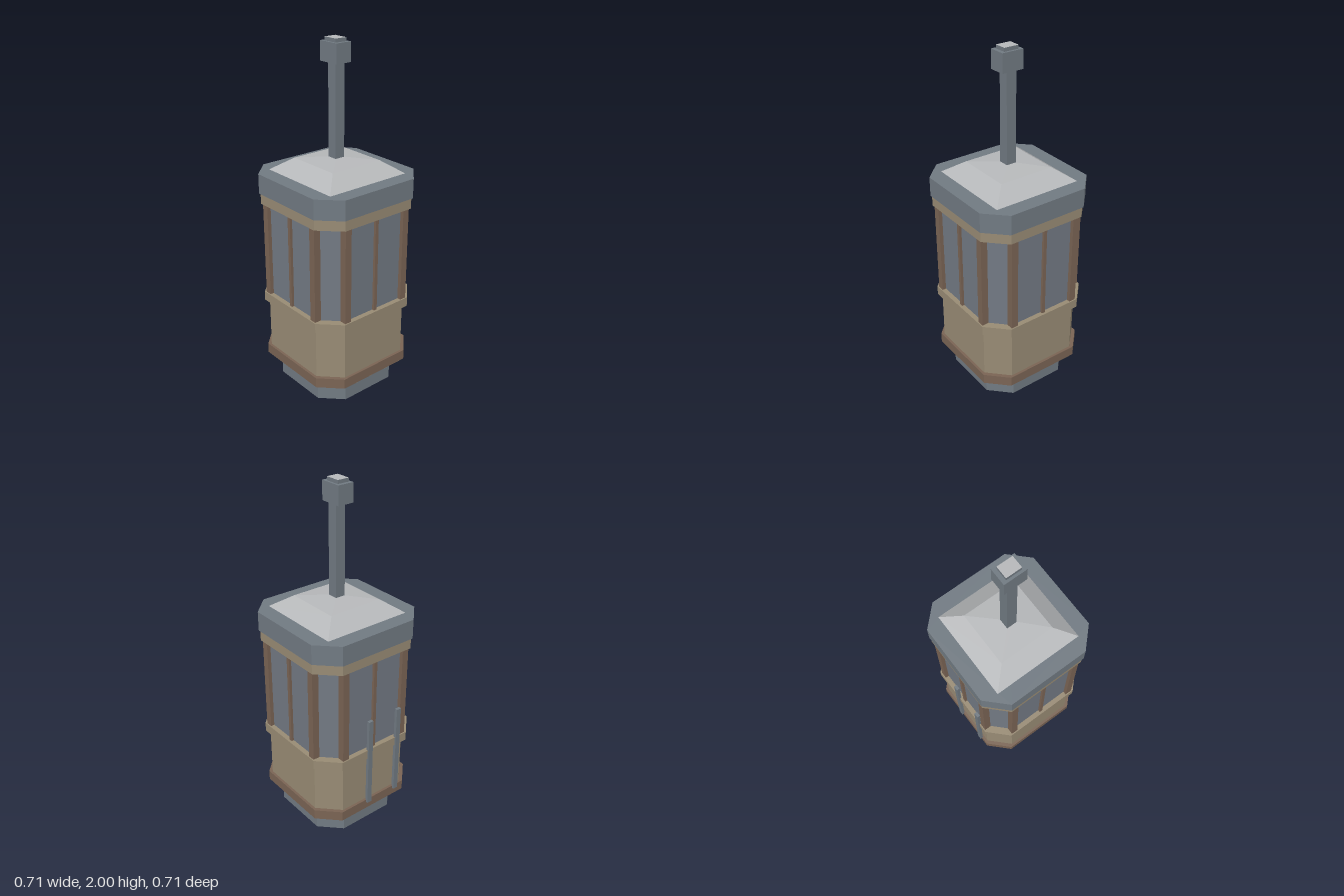
import * as THREE from 'three';

const material = (name, color) => Object.assign(new THREE.MeshStandardMaterial({ color }), { name });

export function createModel() {
  const grey = material('slate grey', 0x717a82);
  const glass = material('window grey', 0x727983);
  const tan = material('tan panel', 0x988b74);
  const brown = material('brown trim', 0x7a6454);
  const pale = material('pale roof', 0xb6b8ba);

  const model = new THREE.Group();
  model.name = 'cableCabin';
  const add = (name, geometry, mat, x = 0, y = 0, z = 0) => {
    const mesh = new THREE.Mesh(geometry, mat);
    mesh.name = name;
    mesh.position.set(x, y, z);
    model.add(mesh);
    return mesh;
  };

  // Square layer with chamfered corners, from height y0 to y1
  const layer = (name, half, y0, y1, mat) => {
    const b = half - 0.113;
    const outline = [[half, -b], [half, b], [b, half], [-b, half], [-half, b], [-half, -b], [-b, -half], [b, -half]];
    const shape = new THREE.Shape(outline.map(([x, y]) => new THREE.Vector2(x, y)));
    const geometry = new THREE.ExtrudeGeometry(shape, { depth: y1 - y0, bevelEnabled: false });
    add(name, geometry.rotateX(-Math.PI / 2), mat, 0, y0, 0);
  };

  // Cabin, from the floor up
  layer('base', 0.283, 0, 0.12, grey);
  layer('lowerBody', 0.327, 0.12, 0.5, tan);
  layer('bumperBand', 0.342, 0.135, 0.195, brown);
  layer('windowSill', 0.347, 0.495, 0.55, tan);
  layer('windows', 0.318, 0.55, 1.1, glass);
  layer('windowHeader', 0.347, 1.1, 1.16, tan);
  layer('roofRim', 0.353, 1.16, 1.273, grey);

  // Corner posts on both sides of every chamfer
  for (const sx of [-1, 1]) for (const sz of [-1, 1]) {
    for (const [x, z] of [[0.205, 0.32], [0.32, 0.205]]) {
      add('cornerPost', new THREE.BoxGeometry(0.04, 0.55, 0.04), brown, sx * x, 0.825, sz * z);
    }
  }

  // Thin mullion in the middle of each side
  for (let i = 0; i < 4; i++) {
    const a = i * Math.PI / 2;
    const mullion = add('mullion', new THREE.BoxGeometry(0.02, 0.55, 0.03), brown,
      0.318 * Math.sin(a), 0.825, 0.318 * Math.cos(a));
    mullion.rotation.y = a;
  }

  // Door handles on the right side
  for (const z of [-0.04, 0.163]) {
    add('doorHandle', new THREE.BoxGeometry(0.018, 0.56, 0.03), grey, -0.346, 0.46, z);
  }

  // Hipped roof: steep skirt and nearly flat crown
  const hip = (name, top, bottom, y0, y1) => {
    const r = Math.SQRT2;
    const geometry = new THREE.CylinderGeometry(top * r, bottom * r, y1 - y0, 4, 1, true)
      .rotateY(Math.PI / 4).toNonIndexed();
    geometry.computeVertexNormals();
    add(name, geometry, pale, 0, (y0 + y1) / 2, 0);
  };
  hip('roofSkirt', 0.164, 0.264, 1.273, 1.345);
  hip('roofCrown', 0.02, 0.164, 1.345, 1.36);

  // Hanger arm and cable grip
  add('hangerArm', new THREE.BoxGeometry(0.06, 0.54, 0.06), grey, 0, 1.615, 0.002);
  add('gripBlock', new THREE.BoxGeometry(0.13, 0.105, 0.097), grey, 0, 1.9275, 0.008);
  add('gripCap', new THREE.BoxGeometry(0.088, 0.02, 0.07), [grey, grey, pale, grey, grey, grey], 0, 1.99, 0.008);

  return model;
}
